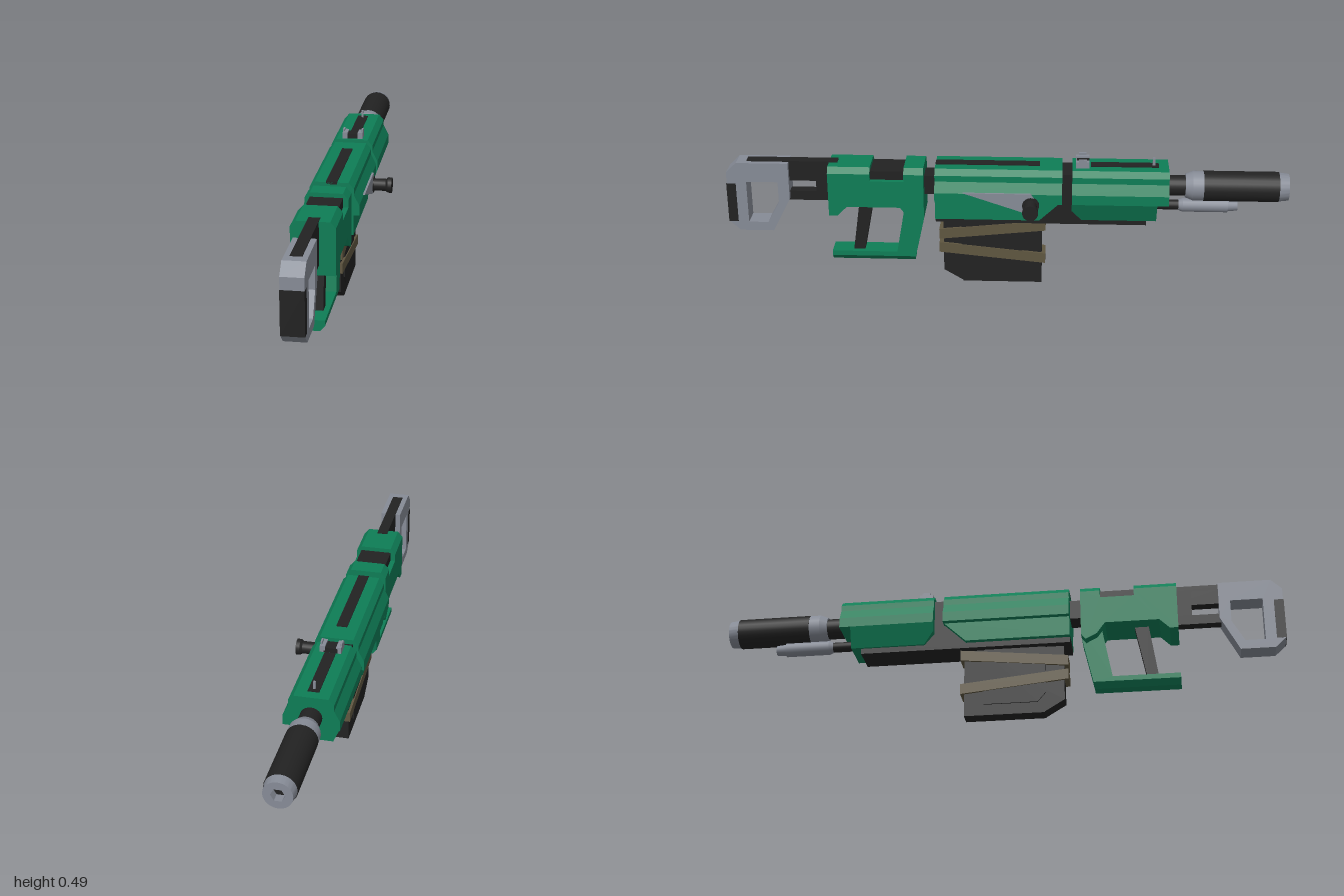
import * as THREE from 'three';
import { toCreasedNormals } from 'three/addons/utils/BufferGeometryUtils.js';

const paint = (name, color) => {
  const m = new THREE.MeshStandardMaterial({ color });
  m.name = name;
  return m;
};

export function createModel() {
  const green = paint('green', 0x0e7d56);
  const black = paint('black', 0x222222);
  const grey = paint('grey', 0x868b96);
  const tan = paint('tan', 0x5f5640);

  const model = new THREE.Group();
  model.name = 'rifle';
  const body = new THREE.Group();
  body.name = 'body';
  body.position.x = -0.037; // everything but the bolt is symmetric about this line
  model.add(body);

  const add = (name, geo, mat) => {
    const mesh = new THREE.Mesh(geo, mat);
    mesh.name = name;
    body.add(mesh);
    return mesh;
  };
  const shapeOf = (pts) => new THREE.Shape(pts.map(([a, b]) => new THREE.Vector2(a, b)));

  // Side outline in (z, y), extruded across x
  const side = (name, mat, pts, width, x = 0, hole) => {
    const s = shapeOf(pts);
    if (hole) s.holes.push(shapeOf(hole));
    const g = new THREE.ExtrudeGeometry(s, { depth: width, bevelEnabled: false });
    g.rotateY(-Math.PI / 2).translate(x + width / 2, 0, 0);
    return add(name, g, mat);
  };
  // Right half of a cross-section in (x, y), mirrored and extruded along z
  const section = (name, mat, half, z0, z1) => {
    const mirrored = half.map(([x, y]) => [-x, y]).reverse();
    const g = new THREE.ExtrudeGeometry(shapeOf([...half, ...mirrored]), { depth: z1 - z0, bevelEnabled: false });
    return add(name, g.translate(0, 0, z0), mat);
  };
  const box = (name, mat, x0, x1, y0, y1, z0, z1) => add(name,
    new THREE.BoxGeometry(x1 - x0, y1 - y0, z1 - z0).translate((x0 + x1) / 2, (y0 + y1) / 2, (z0 + z1) / 2), mat);
  // Round part along z; r0 at z0, r1 at z1
  const round = (name, mat, y, r0, z0, r1, z1, sides = 24) => add(name,
    new THREE.CylinderGeometry(r1, r0, z1 - z0, sides).rotateX(Math.PI / 2).translate(0, y, (z0 + z1) / 2), mat);

  // Shoulder stock
  side('stock', grey,
    [[0.775, 0.457], [0.775, 0.32], [0.84, 0.195], [0.96, 0.195], [0.998, 0.23], [0.998, 0.42], [0.96, 0.457]],
    0.075, 0, [[0.815, 0.385], [0.815, 0.305], [0.858, 0.228], [0.928, 0.228], [0.928, 0.385]]);
  box('buttPad', black, -0.038, 0.038, 0.23, 0.378, 0.966, 1.0);
  box('stockBar', black, -0.019, 0.019, 0.385, 0.446, 0.6, 0.8);
  box('stockTopStrip', black, -0.019, 0.019, 0.44, 0.46, 0.6, 0.925);
  box('stockLowerBar', black, -0.019, 0.019, 0.31, 0.345, 0.6, 0.79);
  box('stockBracket', black, -0.019, 0.019, 0.31, 0.44, 0.6, 0.68);

  // Rear receiver
  side('rearReceiver', green,
    [[0.63, 0.275], [0.63, 0.437], [0.48, 0.437], [0.48, 0.41], [0.36, 0.41], [0.36, 0.437], [0.29, 0.437],
      [0.29, 0.27], [0.305, 0.25], [0.345, 0.27], [0.375, 0.31], [0.565, 0.31], [0.6, 0.275]], 0.148);
  for (const [z0, z1] of [[0.29, 0.36], [0.48, 0.63]])
    section('rearReceiverTop', green, [[0.074, 0.437], [0.056, 0.457]], z0, z1);
  box('notchBlock', black, -0.056, 0.056, 0.4, 0.442, 0.36, 0.48);

  // Hand guard and slanted grip
  side('gripGuard', green,
    [[0.29, 0.31], [0.29, 0.27], [0.327, 0.1], [0.63, 0.1], [0.63, 0.118], [0.394, 0.118], [0.36, 0.31]], 0.075);
  section('gripGuardBase', green, [[0.02, 0.08], [0.0375, 0.1]], 0.33, 0.63);
  side('grip', black, [[0.475, 0.32], [0.525, 0.32], [0.555, 0.11], [0.515, 0.11]], 0.038);

  // Dark inner core linking the housings
  box('coreNeck', black, -0.038, 0.038, 0.35, 0.42, 0.2, 0.32);
  box('core', black, -0.056, 0.056, 0.26, 0.44, -0.3, 0.2);
  box('underRail', black, -0.056, 0.056, 0.25, 0.275, -0.5, 0.25);

  // Main receiver and fore-end
  const shoulder = [[0.095, 0.342], [0.095, 0.378], [0.076, 0.415], [0.076, 0.437], [0.058, 0.457]];
  section('mainReceiver', green, shoulder, -0.2, 0.25);
  side('mainReceiverLower', green, [[0.25, 0.345], [0.25, 0.27], [-0.12, 0.27], [-0.2, 0.345]], 0.15);
  section('foreEnd', green, shoulder, -0.575, -0.235);
  const lower = side('foreEndLower', green,
    [[-0.235, 0.342], [-0.235, 0.312], [-0.27, 0.27], [-0.535, 0.27], [-0.535, 0.342]], 0.19).geometry;
  const p = lower.attributes.position;
  for (let i = 0; i < p.count; i++) // taper towards the bottom
    p.setX(i, p.getX(i) * (1 - (0.342 - p.getY(i)) * 4.6));
  lower.computeVertexNormals();
  box('receiverTopStrip', black, -0.019, 0.019, 0.45, 0.46, -0.12, 0.25);
  box('foreEndTopStrip', black, -0.019, 0.019, 0.45, 0.46, -0.54, -0.3);

  // Sights
  box('rearSightBase', black, -0.024, 0.024, 0.455, 0.474, -0.295, -0.25);
  for (const s of [-1, 1]) {
    box('rearSightFoot', grey, s * 0.028 - 0.009, s * 0.028 + 0.009, 0.455, 0.48, -0.295, -0.247);
    box('rearSightEar', grey, s * 0.034 - 0.003, s * 0.034 + 0.003, 0.47, 0.489, -0.285, -0.258);
  }
  box('frontSight', grey, -0.004, 0.004, 0.455, 0.486, -0.527, -0.518);

  // Barrel and suppressor
  const by = 0.383;
  round('barrel', black, by, 0.037, -0.66, 0.037, -0.56);
  round('suppressorCone', grey, by, 0.053, -0.662, 0.042, -0.636);
  round('suppressorCollar', grey, by, 0.053, -0.7, 0.053, -0.662);
  round('suppressor', black, by, 0.054, -0.965, 0.054, -0.7);
  const ring = new THREE.Shape().absarc(0, 0, 0.052, 0, Math.PI * 2);
  ring.holes.push(shapeOf([0, 1, 2, 3, 4, 5].map((i) =>
    [0.026 * Math.cos(i * Math.PI / 3), 0.026 * Math.sin(i * Math.PI / 3)])));
  const cap = new THREE.ExtrudeGeometry(ring, { depth: 0.035, bevelEnabled: false, curveSegments: 24 });
  const cp = cap.attributes.position;
  for (let i = 0; i < cp.count; i++)
    if (cp.getZ(i) < 0.01) cp.setXY(i, cp.getX(i) * 0.92, cp.getY(i) * 0.92);
  add('muzzleCap', toCreasedNormals(cap.translate(0, by, -1), 0.6), grey);

  // Tube under the barrel
  round('lowerRod', black, 0.308, 0.018, -0.62, 0.018, -0.52, 16);
  round('lowerTubeRear', grey, 0.308, 0.025, -0.63, 0.019, -0.615, 16);
  round('lowerTube', grey, 0.308, 0.025, -0.79, 0.025, -0.63, 16);
  round('lowerTubeTip', grey, 0.308, 0.018, -0.825, 0.021, -0.79, 16);

  // Magazine with wrapped straps
  side('magazine', black,
    [[0.225, 0.255], [0.225, 0.045], [0.155, 0.003], [-0.13, 0.003], [-0.13, 0.255]], 0.055);
  side('magazinePanel', black, [[0.16, 0.25], [0.16, 0.075], [0.13, 0.04], [-0.06, 0.04], [-0.06, 0.25]], 0.064);
  box('magazineFoot', black, -0.0275, 0.0275, 0, 0.01, -0.13, 0.155);
  side('upperStrap', tan, [[0.24, 0.21], [0.24, 0.172], [-0.143, 0.212], [-0.143, 0.25]], 0.071);
  side('lowerStrap', tan, [[0.24, 0.158], [0.24, 0.12], [-0.143, 0.082], [-0.143, 0.12]], 0.071);

  // Bolt cover and handle on the left side only
  side('boltCover', grey, [[0.15, 0.382], [-0.09, 0.382], [-0.115, 0.345], [-0.09, 0.312], [-0.06, 0.312]], 0.03, 0.085);
  const bolt = (name, r0, x0, r1, x1) => add(name,
    new THREE.CylinderGeometry(r0, r1, x1 - x0, 20).rotateZ(Math.PI / 2).translate((x0 + x1) / 2, 0.338, -0.09), black);
  bolt('boltSocket', 0.03, 0.07, 0.03, 0.102);
  bolt('boltHandle', 0.022, 0.09, 0.022, 0.147);
  bolt('boltFlare', 0.022, 0.145, 0.028, 0.153);
  bolt('boltKnob', 0.028, 0.153, 0.028, 0.167);

  return model;
}
